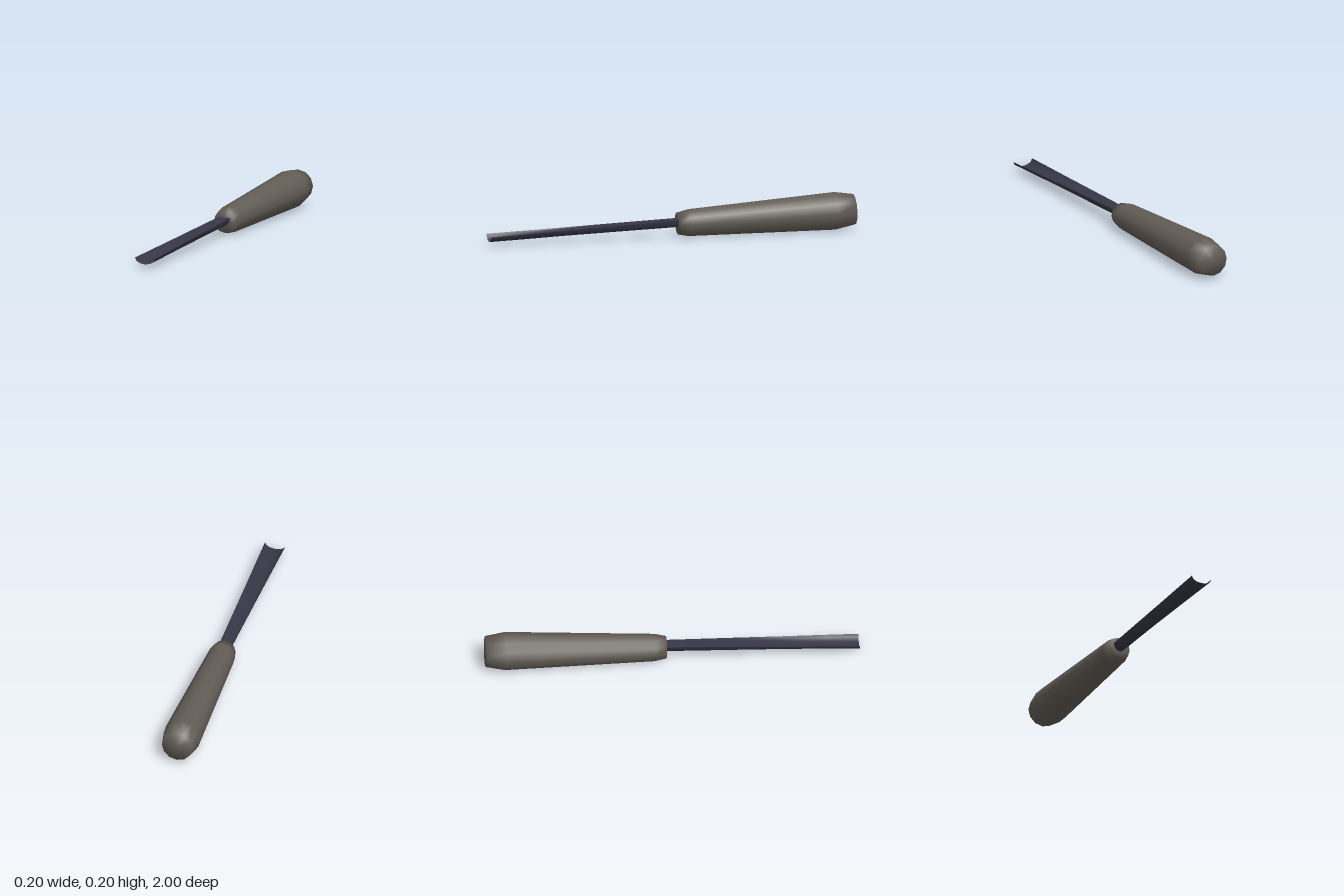
import * as THREE from 'three';

const wood = new THREE.MeshStandardMaterial({ color: 0x625d55 });
wood.name = 'handleGrey';
const steel = new THREE.MeshStandardMaterial({ color: 0x373748 });
steel.name = 'darkSteel';

// Blade stations: z, half width, top height, depth, how hollow the channel is (0 flat, 1 sharp edge)
const stations = [
  [-0.06, 0.033, 0.099, 0.043, 0],
  [0.35, 0.042, 0.082, 0.039, 0],
  [0.6, 0.048, 0.071, 0.036, 0.42],
  [0.84, 0.054, 0.061, 0.035, 0.78],
  [1, 0.058, 0.054, 0.033, 1],
];

// One skin of the blade: the rounded underside or the hollowed top
function bladeSkin(hollow) {
  const segments = 6, row = segments + 1;
  const positions = [], index = [];
  stations.forEach(([z, w, top, depth, k], r) => {
    for (let i = 0; i <= segments; i++) {
      const a = (i / segments) * Math.PI;
      positions.push(w * Math.cos(a), top - depth * (hollow ? k : 1) * Math.sin(a), z);
      if (r === 0 || i === 0) continue;
      const d = r * row + i, c = d - 1, b = d - row, e = b - 1;
      if (hollow) index.push(e, b, c, b, d, c);
      else index.push(e, c, b, b, c, d);
    }
  });
  const geometry = new THREE.BufferGeometry();
  geometry.setAttribute('position', new THREE.Float32BufferAttribute(positions, 3));
  geometry.setIndex(index);
  geometry.computeVertexNormals();
  return geometry;
}

export function createModel() {
  const group = new THREE.Group();
  group.name = 'gouge';

  // Twelve-sided tapered handle, tilted slightly up towards the back
  const profile = [[0, 0.03], [0.06, 0.03], [0.073, 0.09], [0.102, 0.89], [0.083, 0.995], [0, 0.995]]
    .map(([r, y]) => new THREE.Vector2(r, y));
  const handle = new THREE.Mesh(new THREE.LatheGeometry(profile, 12), wood);
  handle.name = 'handle';
  handle.position.y = 0.073;
  handle.rotation.x = -Math.PI / 2 + 0.035;
  group.add(handle);

  // Half-round blade with a channel that sharpens to the tip
  const blade = new THREE.Group();
  blade.name = 'blade';
  for (const [name, hollow] of [['bladeUnderside', false], ['bladeChannel', true]]) {
    const skin = new THREE.Mesh(bladeSkin(hollow), steel);
    skin.name = name;
    blade.add(skin);
  }
  group.add(blade);
  return group;
}
